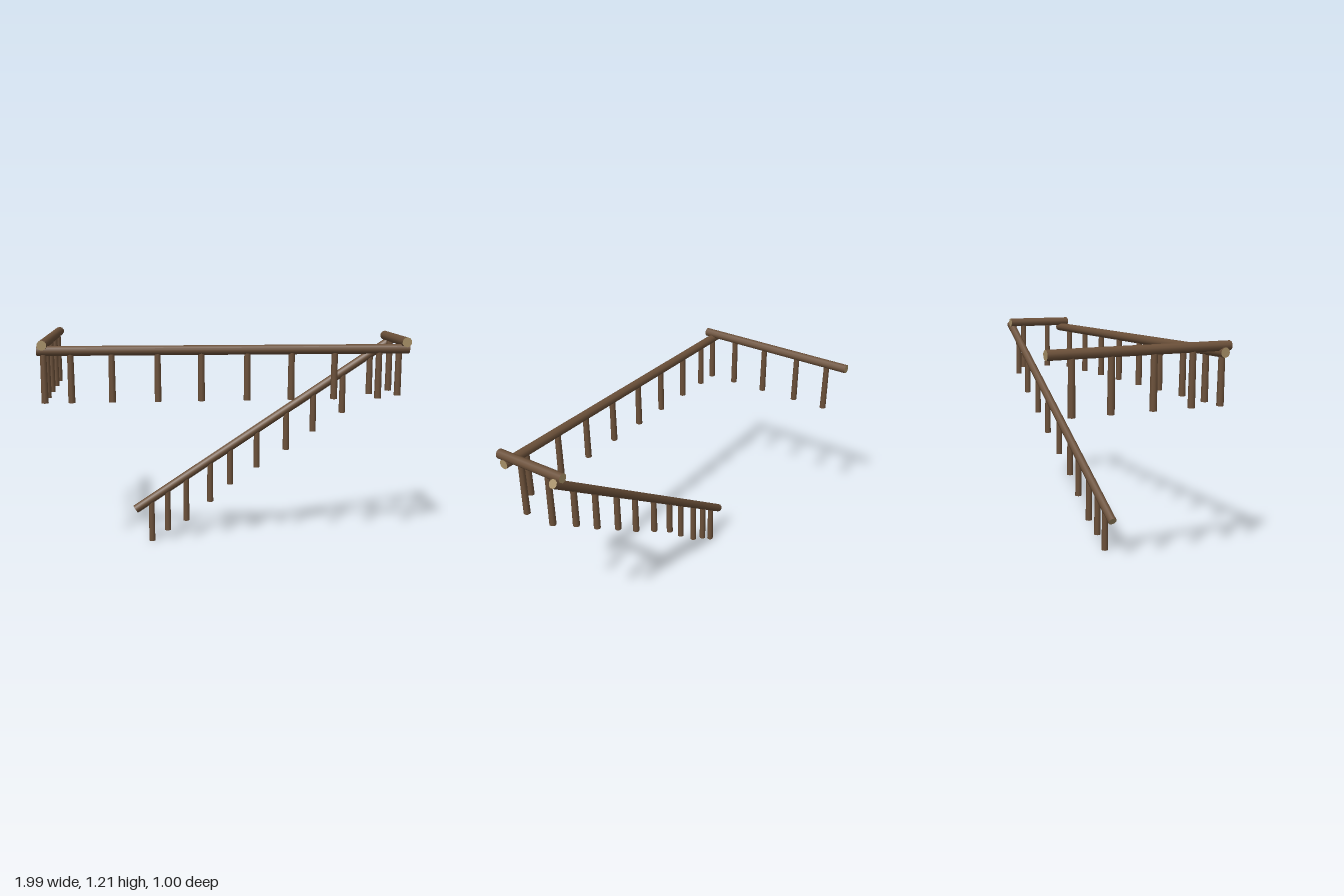
import * as THREE from 'three';

const bark = new THREE.MeshStandardMaterial({ color: 0x6b5039 });
bark.name = 'bark brown';
const cut = new THREE.MeshStandardMaterial({ color: 0xa68f66 });
cut.name = 'cut wood tan';

// Round log from one point to another, with given end colour
function log(name, from, to, r0, r1, endMaterial) {
  const a = new THREE.Vector3(...from), b = new THREE.Vector3(...to);
  const dir = b.clone().sub(a);
  const geo = new THREE.CylinderGeometry(r1, r0, dir.length(), 10);
  const mesh = new THREE.Mesh(geo, [bark, endMaterial, endMaterial]);
  mesh.name = name;
  mesh.position.copy(a).add(b).multiplyScalar(0.5);
  mesh.quaternion.setFromUnitVectors(new THREE.Vector3(0, 1, 0), dir.normalize());
  return mesh;
}

// A rail with posts hanging from its centre line; each post is [x, z, bottom]
function railing(name, from, to, radius, posts) {
  const group = new THREE.Group();
  group.name = name;
  group.add(log(name + 'Rail', from, to, radius, radius, cut));
  const a = new THREE.Vector3(...from), d = new THREE.Vector3(...to).sub(a);
  for (const [x, z, bottom] of posts) {
    const t = ((x - a.x) * d.x + (z - a.z) * d.z) / (d.x * d.x + d.z * d.z);
    group.add(log(name + 'Post', [x, bottom, z], [x, a.y + t * d.y, z], 0.0185, 0.0165, bark));
  }
  return group;
}

export function createModel() {
  const model = new THREE.Group();
  model.name = 'logRailings';

  // Long front railing
  model.add(railing('front', [-1, 1.152, 0.455], [0.955, 1.146, 0.455], 0.026,
    [-0.967, -0.83, -0.62, -0.383, -0.155, 0.087, 0.322, 0.553, 0.793].map(x => [x, 0.457, 0.882])));

  // Side railing running back
  model.add(railing('side', [-0.969, 1.184, 0.5], [-0.969, 1.179, -0.5], 0.0255,
    [0.285, 0.067, -0.164, -0.37].map(z => [-0.969, z, 0.884])));

  // Short railing on the landing
  model.add(railing('landing', [0.931, 1.184, 0.5], [0.931, 1.186, 0.08], 0.0265,
    [0.353, 0.176].map(z => [0.933, z, 0.88])));

  // Sloping stair railing
  const stairPosts = [[-0.423, 0], [-0.33, 0.063], [-0.222, 0.118], [-0.082, 0.229], [0.034, 0.33],
    [0.189, 0.428], [0.36, 0.53], [0.516, 0.635], [0.686, 0.743], [0.842, 0.85]];
  model.add(railing('stair', [-0.515, 0.192, 0.1], [0.98, 1.174, 0.1], 0.0245,
    stairPosts.map(([x, y]) => [x, 0.102, y])));

  return model;
}
